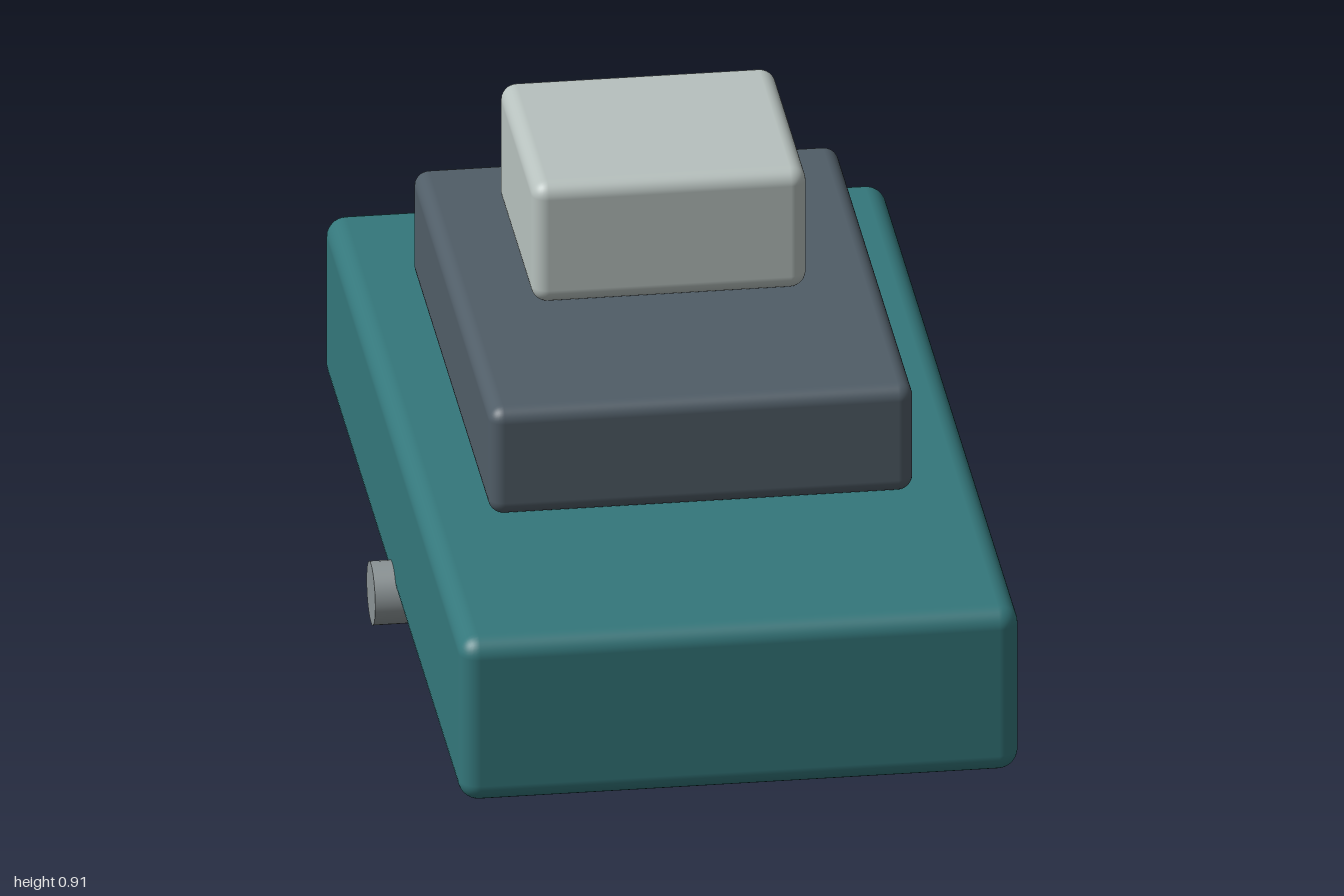
import * as THREE from 'three';
import { RoundedBoxGeometry } from 'three/addons/geometries/RoundedBoxGeometry.js';

const material = (name, color) => {
  const m = new THREE.MeshStandardMaterial({ color });
  m.name = name;
  return m;
};

export function createModel() {
  const model = new THREE.Group();
  const teal = material('teal', 0x34777b);
  const slate = material('slate', 0x505d67);
  const paleGrey = material('paleGrey', 0xb7c1be);
  const steel = material('steel', 0x8b9395);
  const orange = material('orange', 0xc87d48);

  // Rounded block centred on x, given by its width and y / z extents
  function block(name, width, [y0, y1], [z0, z1], radius, mat) {
    const geometry = new RoundedBoxGeometry(width, y1 - y0, z1 - z0, 4, radius);
    const mesh = new THREE.Mesh(geometry, mat);
    mesh.name = name;
    mesh.position.set(0, (y0 + y1) / 2, (z0 + z1) / 2);
    model.add(mesh);
  }

  // Three stacked tiers
  block('body', 1.1, [0.066, 0.418], [-0.977, 1], 0.04, teal);
  block('middleDeck', 0.834, [0.418, 0.648], [-0.675, 0.447], 0.03, slate);
  block('cabin', 0.54, [0.648, 0.907], [-0.506, -0.013], 0.032, paleGrey);

  // Bar across the back
  block('rearBar', 0.94, [0.185, 0.325], [-1, -0.95], 0.022, orange);

  // Axle running under the body, showing at both sides
  const axle = new THREE.Mesh(new THREE.CylinderGeometry(0.063, 0.063, 1.184, 32), steel);
  axle.name = 'axle';
  axle.rotation.z = Math.PI / 2;
  axle.position.set(0, 0.063, 0.012);
  model.add(axle);

  return model;
}
